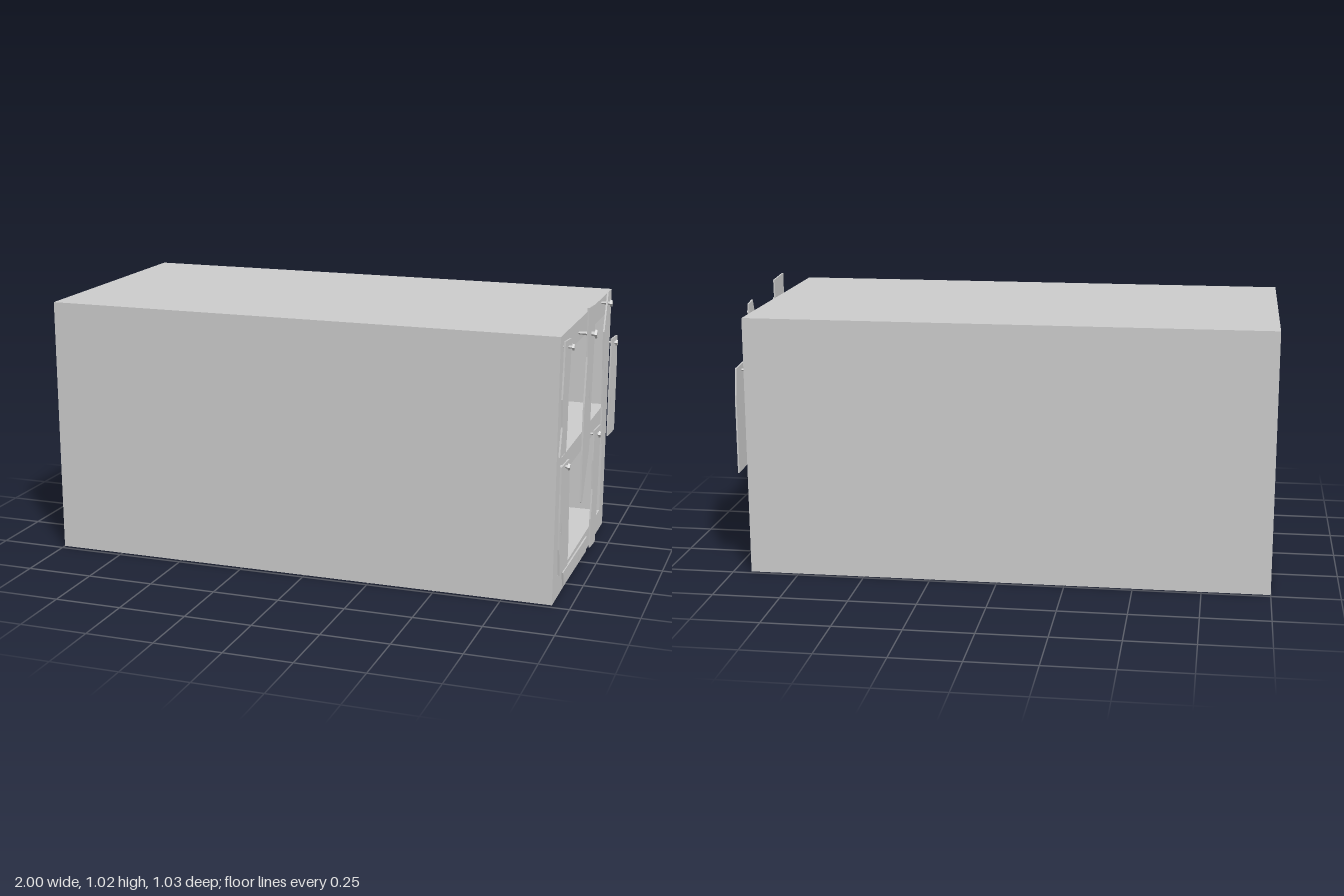
import * as THREE from 'three';
import { ConvexGeometry } from 'three/addons/geometries/ConvexGeometry.js';

const grey = new THREE.MeshStandardMaterial({ color: 0xcccccc, flatShading: true, side: THREE.DoubleSide });
grey.name = 'plain grey';

const FRONT = 0.933; // x of the open end
const BACK = -0.92; // x of the inner back wall

let seed = 7;
const rand = () => {
  seed = (seed * 16807) % 2147483647;
  return seed / 2147483647;
};
const jitter = (a) => (rand() * 2 - 1) * a;

function add(parent, geometry, name) {
  const mesh = new THREE.Mesh(geometry, grey);
  mesh.name = name;
  parent.add(mesh);
  return mesh;
}

// Outline points are [z, y]; the slab is extruded along +x from x = 0
const outline = (pts) => pts.map(([z, y]) => new THREE.Vector2(-z, y));
function slab(pts, depth, holes = []) {
  const shape = new THREE.Shape(outline(pts));
  holes.forEach((h) => shape.holes.push(new THREE.Path(outline(h))));
  const geo = new THREE.ExtrudeGeometry(shape, { depth, bevelEnabled: false });
  return geo.rotateY(Math.PI / 2);
}
const rect = (z0, z1, y0, y1) => [[z0, y0], [z1, y0], [z1, y1], [z0, y1]];

// Height of a silhouette at z, from evenly spaced samples across the bay
function sample(list, z) {
  const t = THREE.MathUtils.clamp((0.4 - z) / 0.805, 0, 1) * (list.length - 1);
  const i = Math.min(Math.floor(t), list.length - 2);
  return THREE.MathUtils.lerp(list[i], list[i + 1], t - i);
}

// Rubble heap: a coarse sheet with an undercut front, rising towards the back
function heap(floorY, tops) {
  const start = FRONT - 0.3;
  const length = start - BACK;
  const geo = new THREE.PlaneGeometry(length, 0.805, 10, 8).rotateX(-Math.PI / 2);
  const p = geo.attributes.position;
  for (let i = 0; i < p.count; i++) {
    const z = p.getZ(i) - 0.0025;
    const d = length / 2 - p.getX(i);
    const foot = d < 0.001;
    const end = d > length - 0.01;
    const ramp = Math.min(1, 0.35 + d * 0.7);
    const y = foot ? 0 : sample(tops, z) * ramp + jitter(0.035);
    const lead = THREE.MathUtils.smoothstep(-z, 0.12, 0.36) * 0.2 * (1 - d / length);
    p.setXYZ(
      i,
      start - (foot ? 0.22 : d) + lead + (end ? 0 : jitter(0.04)),
      floorY + Math.max(0, y),
      Math.abs(z) > 0.38 ? z : z + jitter(0.035)
    );
  }
  geo.computeVertexNormals();
  return geo;
}

// Angular chunk of rock with the given centre and half sizes
function rock([x, y, z], [a, b, c]) {
  const pts = [];
  for (let i = 0; i < 14; i++) {
    const v = new THREE.Vector3(jitter(1), jitter(1), jitter(1)).normalize();
    pts.push(new THREE.Vector3(x + v.x * a, y + v.y * b, z + v.z * c));
  }
  return new ConvexGeometry(pts);
}

// Broken board: z of both edges at even steps from top to bottom,
// uneven ends, distance from the block and three-cornered cracks [z, y, size]
function board(top, bottom, left, right, gap, cracks = []) {
  const edge = (zs, slant) => zs.map((z, i) =>
    [z, THREE.MathUtils.lerp(top, bottom, i / (zs.length - 1)) + slant]);
  const pts = [...edge(left, 0.004), ...edge(right, -0.004).reverse()];
  const holes = cracks.map(([z, y, s]) =>
    [[z + s * 0.5, y], [z - s * 0.3, y + s], [z - s * 0.5, y - s * 0.7]]);
  return slab(pts, 0.006, holes).translate(FRONT + gap, 0, 0);
}

// Four-sided nail with a tapered shank reaching back to the block
function nail(z, y, x, r) {
  const group = new THREE.Group();
  group.name = 'nail';
  group.position.set(x, y, z);
  group.rotation.z = -Math.PI / 2;
  const length = x - FRONT - 0.006;
  add(group, new THREE.CylinderGeometry(r * 0.85, r, 0.008, 4).translate(0, -0.004, 0), 'nailHead');
  add(group, new THREE.CylinderGeometry(r * 0.5, r * 0.3, length, 4).translate(0, -length / 2 - 0.006, 0), 'nailShank');
  return group;
}

export function createModel() {
  seed = 7;
  const model = new THREE.Group();
  model.name = 'boardedCrate';

  // Outer block with two deep bays and a closed back
  const bays = [rect(0.4, -0.405, 0.08, 0.45), rect(0.4, -0.405, 0.52, 0.89)];
  const outer = rect(-0.485, 0.48, 0, 0.968);
  add(model, slab(outer, FRONT - BACK, bays), 'block').position.x = BACK;
  add(model, slab(outer, BACK + 1), 'backWall').position.x = -1;

  // Rubble in both bays
  const rubble = new THREE.Group();
  rubble.name = 'rubble';
  model.add(rubble);
  add(rubble, heap(0.52, [0.22, 0.27, 0.17, 0.2, 0.22]), 'upperHeap');
  add(rubble, heap(0.08, [0.28, 0.22, 0.2, 0.26, 0.28]), 'lowerHeap');
  [
    [[0.1, 0.64, 0.33], [0.15, 0.13, 0.07]],
    [[0.0, 0.7, 0.22], [0.15, 0.1, 0.1]],
    [[0.3, 0.59, -0.1], [0.2, 0.07, 0.16]],
    [[0.1, 0.68, -0.3], [0.2, 0.11, 0.1]],
    [[0.15, 0.22, 0.27], [0.18, 0.14, 0.07]],
    [[0.2, 0.18, 0.08], [0.22, 0.1, 0.18]],
    [[0.6, 0.15, -0.29], [0.14, 0.07, 0.1]],
    [[0.5, 0.27, -0.34], [0.14, 0.17, 0.06]],
  ].forEach(([c, s]) => add(rubble, rock(c, s), 'rock'));

  // Splintered boards across the open end
  add(model, board(0.95, 0.55, [0.482, 0.488, 0.5, 0.488, 0.515],
    [0.38, 0.385, 0.403, 0.402, 0.413], 0.012), 'upperLeftBoard');
  add(model, board(1.02, 0.31, [0.228, 0.222, 0.247, 0.25, 0.245],
    [0.098, 0.106, 0.12, 0.126, 0.225], 0.04, [[0.163, 0.69, 0.028]]), 'tallLeftBoard');
  add(model, board(0.995, 0.4, [-0.27, -0.212, -0.226, -0.233, -0.23],
    [-0.32, -0.315, -0.33, -0.33, -0.295], 0.02, [[-0.26, 0.69, 0.024]]), 'tallRightBoard');
  add(model, board(0.787, 0.396, [-0.377, -0.373, -0.372, -0.374, -0.372],
    [-0.495, -0.512, -0.512, -0.512, -0.512], 0.022, [[-0.39, 0.54, 0.025]]), 'farRightBoard');
  add(model, board(0.506, 0.1, [0.479, 0.477, 0.477, 0.473, 0.454],
    [0.34, 0.33, 0.322, 0.312, 0.313], 0.012, [[0.45, 0.27, 0.035]]), 'lowerLeftBoard');
  add(model, board(0.492, 0.027, [-0.087, -0.085, -0.092, -0.08, -0.084],
    [-0.21, -0.208, -0.203, -0.193, -0.184], 0.02), 'lowerRightBoard');
  add(model, board(0.08, 0.024, [0.366, 0.35], [-0.08, -0.065], 0.008,
    [[0.335, 0.045, 0.016], [0.09, 0.045, 0.016]]), 'bottomBoard');

  // Nails through the boards
  model.add(
    nail(0.43, 0.925, 0.972, 0.012),
    nail(0.164, 0.92, 1.0, 0.017),
    nail(-0.267, 0.952, 0.975, 0.014),
    nail(-0.435, 0.765, 0.974, 0.012),
    nail(0.413, 0.494, 0.968, 0.013),
    nail(-0.15, 0.466, 0.972, 0.013)
  );

  return model;
}
